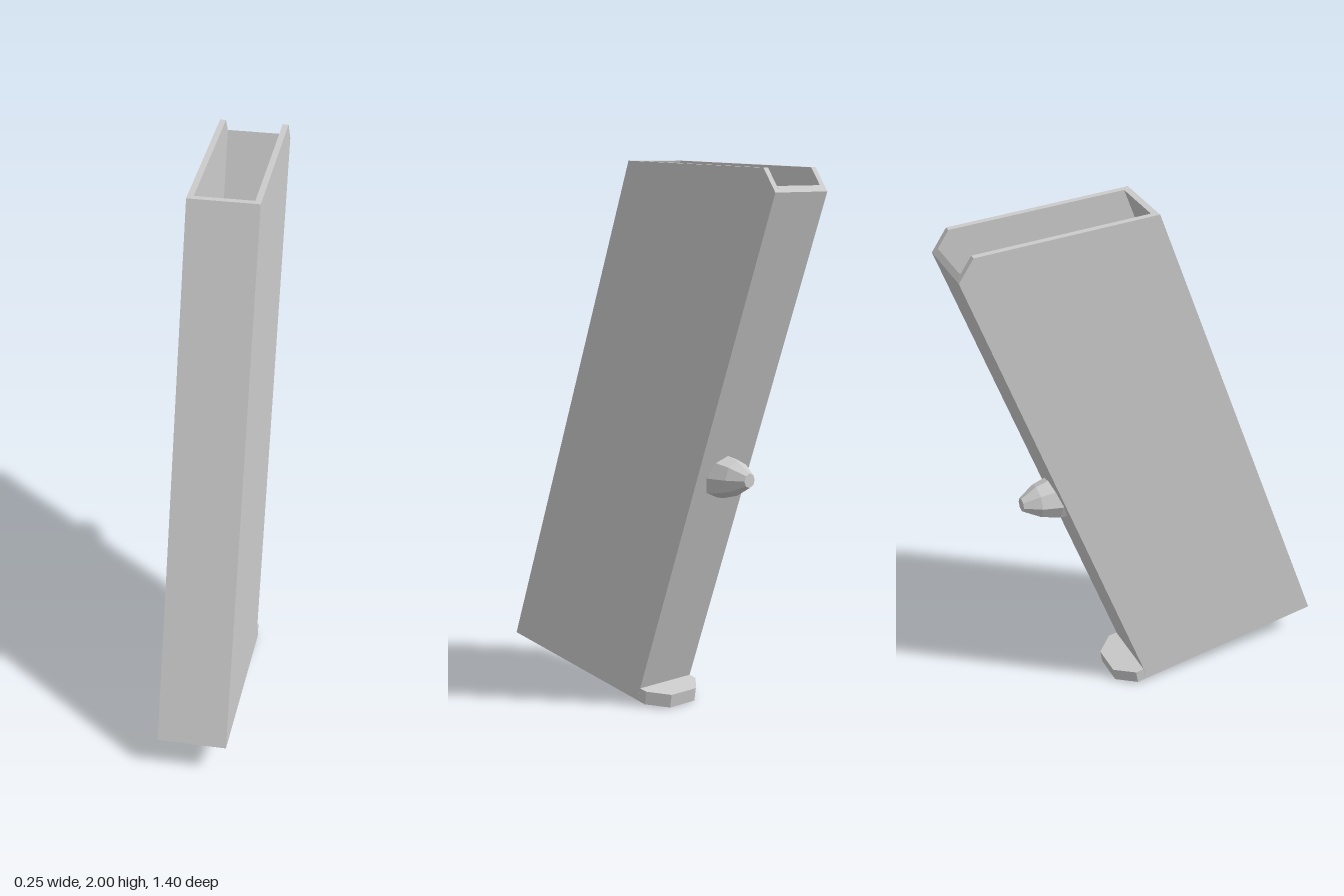
import * as THREE from 'three';

const mat = new THREE.MeshStandardMaterial({ color: 0xcccccc, flatShading: true });
const HALF = 0.127; // half width of the case
const WALL = 0.022; // wall thickness

const toShape = (pts) => new THREE.Shape(pts.map(([a, b]) => new THREE.Vector2(a, b)));

// Extrudes a side profile of [z, y] points between x0 and x0 + width
function profile(name, pts, x0, width) {
  const geo = new THREE.ExtrudeGeometry(toShape(pts.map(([z, y]) => [-z, y])), { depth: width, bevelEnabled: false });
  geo.rotateY(Math.PI / 2).translate(x0, 0, 0);
  const mesh = new THREE.Mesh(geo, mat);
  mesh.name = name;
  return mesh;
}

export function createModel() {
  const model = new THREE.Group();
  model.name = 'slantedCase';

  // Slanted side plates with the chamfered rear top corner
  const side = [[0.7, 0.13], [-0.03, 0.0155], [-0.037, 0.066], [-0.7, 1.9], [-0.645, 1.98], [0.02, 2]];
  model.add(profile('leftWall', side, HALF - WALL, WALL));
  model.add(profile('rightWall', side, -HALF, WALL));

  // Front wall, floor and rear wall as one channel, open at the top
  const channel = [
    [0.02, 2], [0.7, 0.13], [-0.03, 0.0155], [-0.037, 0.066], [-0.7, 1.9],
    [-0.686, 1.921], [-0.009, 0.044], [0.67, 0.15], [-0.004, 1.999],
  ];
  model.add(profile('frontFloorAndRear', channel, -HALF + WALL, 2 * (HALF - WALL)));

  // Rear lip of the base, with clipped corners
  const plan = [[-HALF, 0], [HALF, 0], [HALF, 0.033], [0.062, 0.102], [-0.062, 0.102], [-HALF, 0.033]];
  const lipGeo = new THREE.ExtrudeGeometry(toShape(plan), { depth: 0.051, bevelEnabled: false });
  lipGeo.rotateX(-Math.PI / 2);
  const lip = new THREE.Mesh(lipGeo, mat);
  lip.name = 'baseLip';
  lip.position.set(0, 0.0155, -0.03);
  lip.rotation.x = -0.156;
  model.add(lip);

  // Eight-sided round lying inside, its blunt tip poking through the rear wall
  const tip = [[0, -0.3], [0.085, -0.3], [0.085, 0.25], [0.081, 0.34], [0.062, 0.41], [0.026, 0.47], [0, 0.47]];
  const roundGeo = new THREE.LatheGeometry(tip.map(([r, y]) => new THREE.Vector2(r, y)), 8);
  roundGeo.rotateX(-Math.PI / 2);
  const round = new THREE.Mesh(roundGeo, mat);
  round.name = 'innerRound';
  round.position.y = 0.893;
  model.add(round);

  return model;
}
